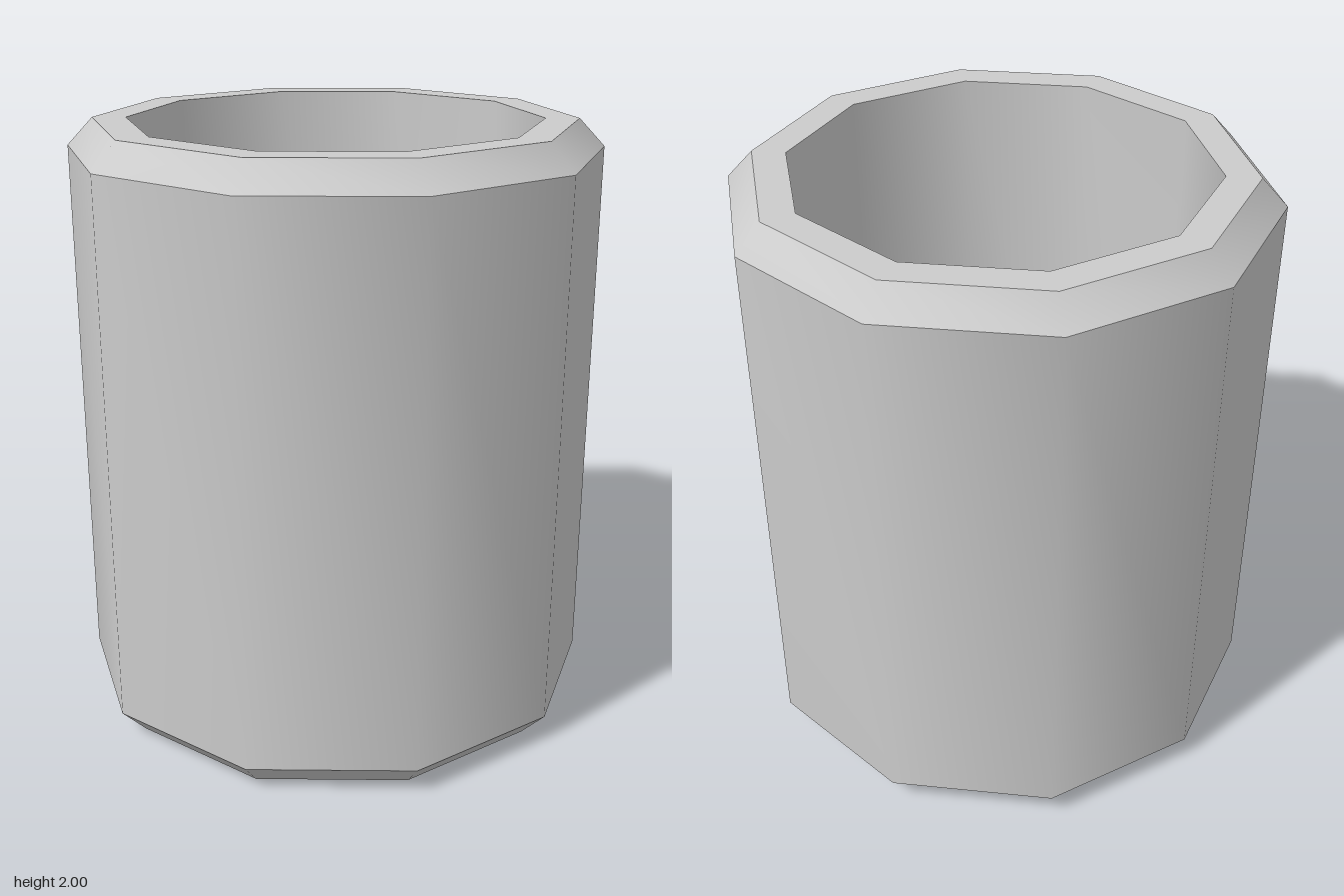
import * as THREE from 'three';
import { toCreasedNormals } from 'three/addons/utils/BufferGeometryUtils.js';

const SIDES = 10;

export function createModel() {
  const model = new THREE.Group();
  model.name = 'cup';

  // Closed cross-section [radius, height], from the base centre round to the floor centre
  const profile = [
    [0, 0.012], [0.73, 0.012], [0.73, 0],   // shallow recess under the base
    [0.79, 0], [0.875, 0.09],               // lower chamfer
    [0.875, 1.91], [0.79, 2],               // outer wall and upper chamfer
    [0.68, 2], [0.68, 0.1],                 // flat rim and inner wall
    [0.62, 0.1], [0.62, 0.088], [0, 0.088], // floor with a shallow recess
  ].map(([r, y]) => new THREE.Vector2(r, y));

  // Smooth around the ten sides, sharp at the chamfers and rims
  const geometry = toCreasedNormals(new THREE.LatheGeometry(profile, SIDES), 0.66);
  const body = new THREE.Mesh(geometry, new THREE.MeshStandardMaterial({ color: 0xcccccc }));
  body.name = 'cupBody';
  model.add(body);

  return model;
}
